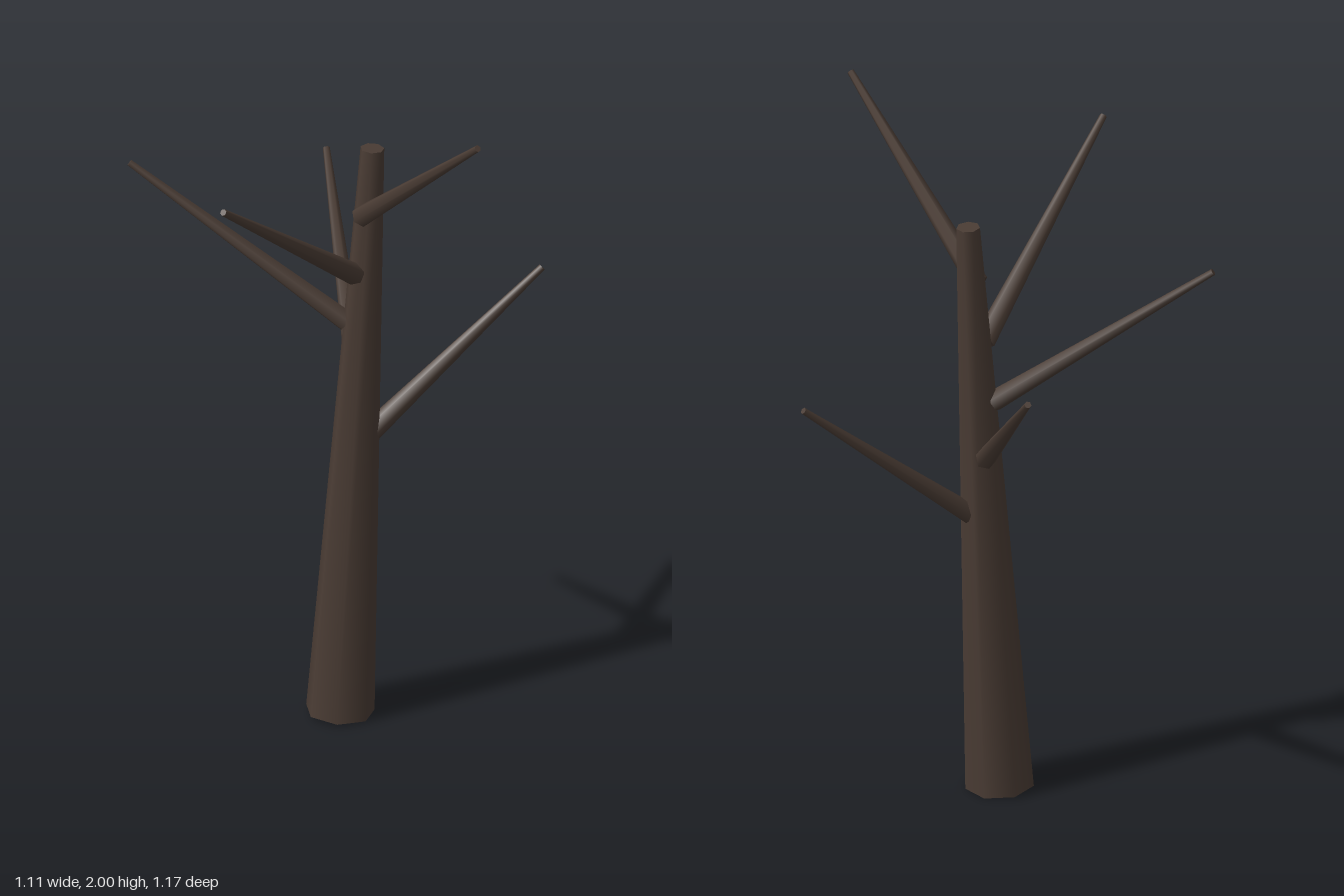
import * as THREE from 'three';

const UP = new THREE.Vector3(0, 1, 0);

// Tapered, capped limb running between two points
function limb(name, from, to, r0, r1, sides, material, spin = 0) {
  const a = new THREE.Vector3(...from);
  const b = new THREE.Vector3(...to);
  const dir = b.clone().sub(a);
  const geometry = new THREE.CylinderGeometry(r1, r0, dir.length(), sides);
  geometry.rotateY(spin);
  const mesh = new THREE.Mesh(geometry, material);
  mesh.name = name;
  mesh.position.copy(a).add(b).multiplyScalar(0.5);
  mesh.quaternion.setFromUnitVectors(UP, dir.normalize());
  return mesh;
}

export function createModel() {
  const tree = new THREE.Group();
  tree.name = 'bareTree';
  const bark = new THREE.MeshStandardMaterial({ color: 0x4a3c34 });
  bark.name = 'dark bark';

  // Leaning seven-sided trunk
  tree.add(limb('trunk', [-0.059, 0.01, 0], [0.038, 1.742, 0], 0.098, 0.034, 7, bark, Math.PI));

  // Five branches spiralling up the trunk: base, tip
  const branches = [
    [[0.034, 0.861, 0], [0.546, 1.279, 0]],
    [[0.004, 1.04, -0.04], [0.127, 1.458, -0.577]],
    [[-0.028, 1.203, -0.024], [-0.548, 1.638, -0.357]],
    [[-0.022, 1.37, 0.022], [-0.548, 1.816, 0.357]],
    [[-0.004, 1.55, 0.026], [0.127, 1.994, 0.577]],
  ];
  branches.forEach(([base, tip], i) => {
    tree.add(limb(`branch${i + 1}`, base, tip, 0.031, 0.01, 6, bark));
  });
  return tree;
}
